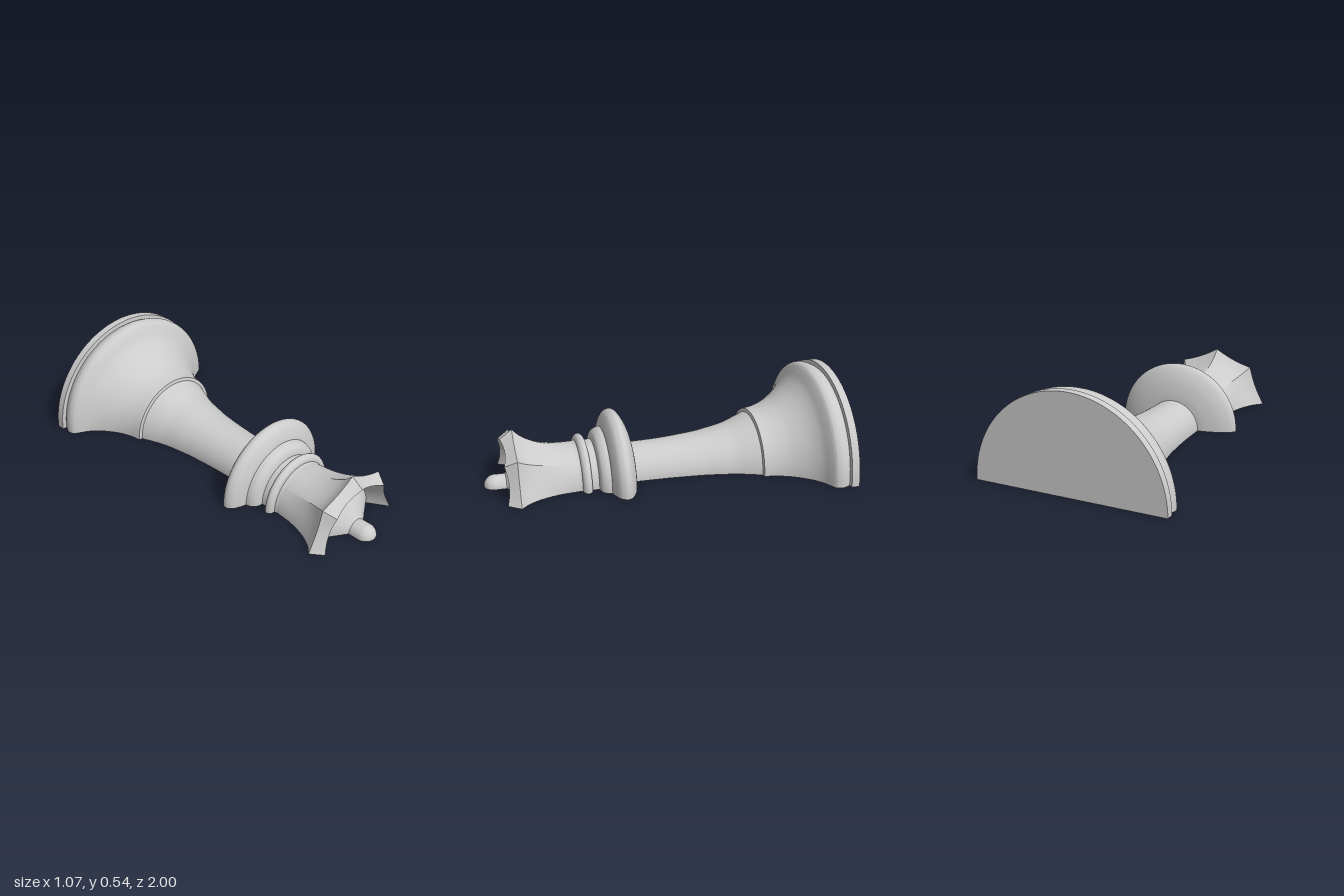
import * as THREE from 'three';
import { toCreasedNormals } from 'three/addons/utils/BufferGeometryUtils.js';

const material = new THREE.MeshStandardMaterial({ color: 0xcccccc });
const V = ([r, z]) => new THREE.Vector2(r, z);
const spline = (n, ...pts) => new THREE.SplineCurve(pts.map(V)).getPoints(n);
const line = (...pts) => pts.map(V);

// Half profiles as (radius, z), running from the foot to the tip
const profiles = {
  footDisc: line([0, -1], [0.537, -1], [0.537, -0.955], [0.512, -0.953]),
  footBell: [
    ...spline(40, [0.512, -0.953], [0.522, -0.935], [0.531, -0.905], [0.522, -0.872], [0.49, -0.85], [0.44, -0.822],
      [0.385, -0.77], [0.33, -0.69], [0.298, -0.61], [0.285, -0.54]),
    ...line([0.265, -0.536]),
  ],
  column: spline(30, [0.265, -0.536], [0.243, -0.48], [0.215, -0.4], [0.195, -0.3], [0.18, -0.2], [0.166, -0.02],
    [0.161, 0.175]),
  collar: spline(30, [0.161, 0.175], [0.21, 0.181], [0.285, 0.202], [0.345, 0.235], [0.363, 0.265], [0.345, 0.3],
    [0.3, 0.323], [0.268, 0.332]),
  upperRing: [
    ...spline(12, [0.268, 0.332], [0.262, 0.355], [0.245, 0.378], [0.222, 0.388]),
    ...line([0.202, 0.39], [0.2, 0.43]),
  ],
  neckRing: [
    ...spline(14, [0.2, 0.43], [0.225, 0.434], [0.24, 0.456], [0.225, 0.478], [0.203, 0.482]),
    ...line([0.2, 0.5]),
  ],
};
const flare = spline(16, [0.2, 0.5], [0.209, 0.6], [0.235, 0.7], [0.276, 0.78], [0.323, 0.83]);
const bowl = line([0.272, 0.898], [0.205, 0.785], [0.06, 0.88]);
const pin = [V([0.06, 0.87])];
for (let i = 0; i <= 12; i++) {
  const a = (i / 12) * Math.PI / 2;
  pin.push(V([0.061 * Math.cos(a), 0.939 + 0.061 * Math.sin(a)]));
}

// Upper half of a turned solid, with its axis along z
function halfLathe(points) {
  const g = new THREE.LatheGeometry(points, 64, Math.PI / 2, Math.PI);
  return g.rotateX(Math.PI / 2);
}

// Crown: a half lathe whose section changes from a circle to an eight-pointed star
function crownGeometry() {
  const g = halfLathe([...flare, ...bowl]);
  const p = g.attributes.position;
  const rows = flare.length + bowl.length;
  const step = Math.PI / 4;
  for (let i = 0; i < p.count; i++) {
    const row = i % rows;
    const x = p.getX(i), y = p.getY(i), z = p.getZ(i);
    const angle = Math.atan2(y, x) + Math.PI * 2;
    const k = Math.round(angle / step * 1e4) / 1e4;
    const off = (k - Math.floor(k) - 0.5) * step; // from the middle of a side
    const side = 1 - (2 * off / step) ** 2;
    const chord = Math.cos(step / 2) / Math.cos(off);
    let s = 1;
    if (row < flare.length) {
      const t = THREE.MathUtils.clamp((z - 0.5) / 0.33, 0, 1);
      s = 1 + t * (chord - 0.03 * side - 1);
    } else if (row === flare.length) {
      s = chord;
      p.setZ(i, z - 0.016 * side);
    }
    p.setX(i, x * s);
    p.setY(i, y * s);
  }
  return g;
}

export function createModel() {
  const group = new THREE.Group();
  const add = (name, geometry, mat = material) => {
    const mesh = new THREE.Mesh(geometry, mat);
    mesh.name = name;
    group.add(mesh);
    return mesh;
  };

  // Turned parts
  for (const [name, points] of Object.entries(profiles)) {
    add(name, toCreasedNormals(halfLathe(points), 0.6));
  }
  add('crown', toCreasedNormals(crownGeometry(), 0.45));
  add('crownPin', toCreasedNormals(halfLathe(pin), 0.6));

  // Flat underside: the whole profile mirrored, with peg holes along the axis
  const outline = [...Object.values(profiles).flat(), ...flare, ...bowl, ...pin.slice(1)]
    .filter((p, i, all) => p.x > 1e-4 && (i === 0 || p.distanceTo(all[i - 1]) > 1e-4));
  const mirrored = outline.map((p) => new THREE.Vector2(-p.x, p.y)).reverse();
  const shape = new THREE.Shape([...outline, ...mirrored]);
  const radius = 0.032, depth = 0.06;
  const inside = new THREE.MeshStandardMaterial({ color: 0xcccccc, side: THREE.BackSide, flatShading: true });
  for (const z of [-0.86, -0.55, 0.25, 0.71]) {
    const ring = [];
    for (let i = 0; i < 8; i++) {
      const a = i * Math.PI / 4;
      ring.push(new THREE.Vector2(radius * Math.sin(a), z + radius * Math.cos(a)));
    }
    shape.holes.push(new THREE.Path(ring));
    add('pegHole', new THREE.CylinderGeometry(radius, radius, depth, 8), inside).position.set(0, depth / 2, z);
  }
  add('flatUnderside', new THREE.ShapeGeometry(shape).rotateX(Math.PI / 2));
  return group;
}
